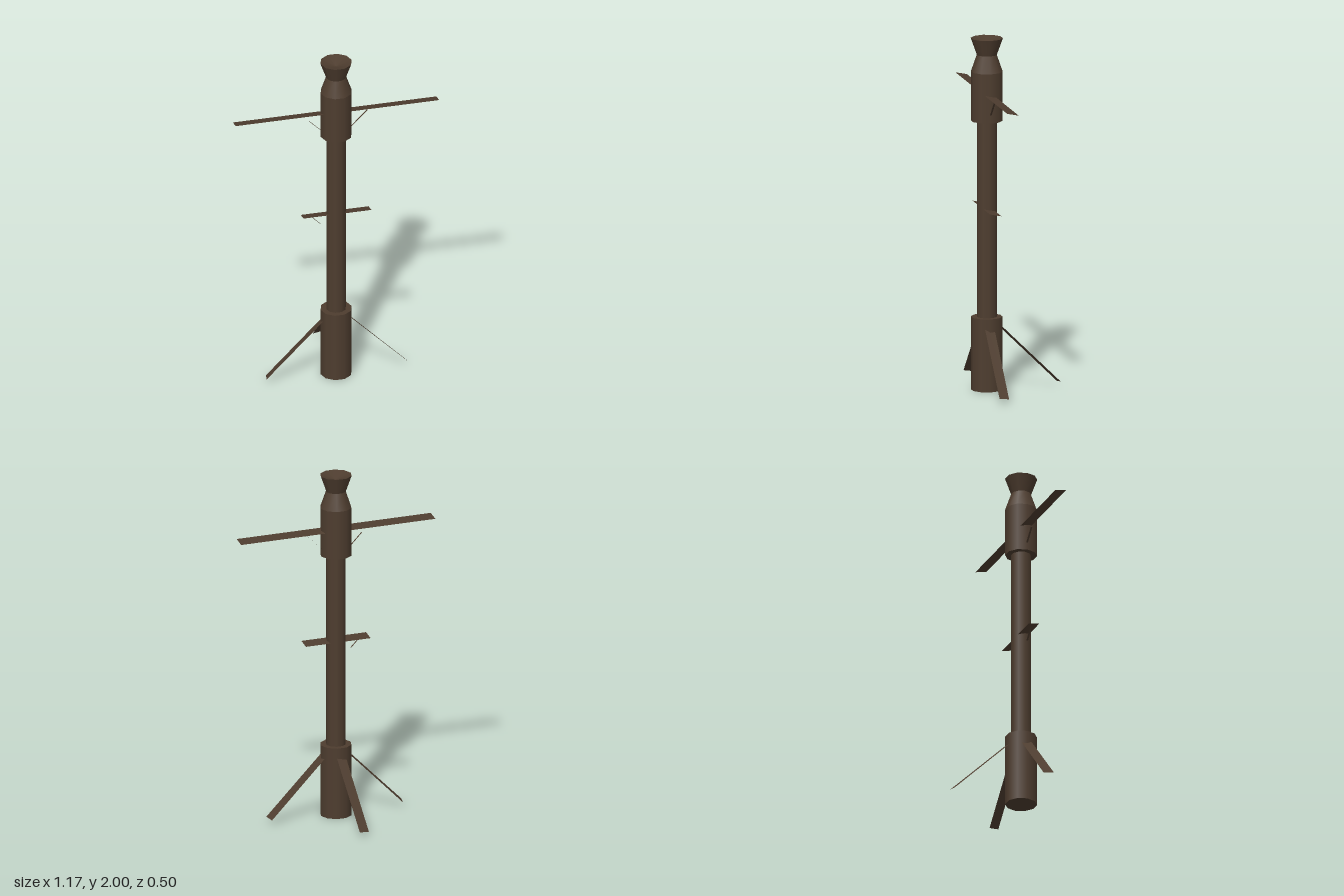
import * as THREE from 'three';

const SIDES = 10;
const POLE_Z = 0.165;

export function createModel() {
  const model = new THREE.Group();
  const wood = new THREE.MeshStandardMaterial({ color: 0x4e3d2f, side: THREE.DoubleSide });
  wood.name = 'darkWood';

  const add = (name, geometry) => {
    const mesh = new THREE.Mesh(geometry, wood);
    mesh.name = name;
    model.add(mesh);
    return mesh;
  };

  // upright ten-sided section between two heights
  const section = (name, rBottom, rTop, y0, y1, open = false) => {
    const g = new THREE.CylinderGeometry(rTop, rBottom, y1 - y0, SIDES, 1, open, Math.PI / 2);
    add(name, g).position.set(0, (y0 + y1) / 2, POLE_Z);
  };

  // thin four-cornered board
  const board = (name, a, b, c, d) => {
    const g = new THREE.BufferGeometry();
    g.setAttribute('position', new THREE.Float32BufferAttribute([...a, ...b, ...c, ...d], 3));
    g.setIndex([0, 1, 2, 0, 2, 3]);
    g.computeVertexNormals();
    add(name, g);
  };

  // pole
  section('base', 0.089, 0.089, 0, 0.415);
  section('shaft', 0.056, 0.056, 0.41, 1.535);
  section('head', 0.089, 0.089, 1.53, 1.81);
  section('neck', 0.089, 0.056, 1.81, 1.905, true);
  section('crown', 0.056, 0.09, 1.905, 2, true);

  // shallow hollow in the crown
  const hollow = new THREE.ConeGeometry(0.09, 0.03, SIDES, 1, true, Math.PI / 2);
  hollow.rotateX(Math.PI);
  add('crownHollow', hollow).position.set(0, 1.985, POLE_Z);

  // crossarms, tilted slightly forward
  for (const [name, half, y] of [['upperCrossarm', 0.585, 1.681], ['lowerCrossarm', 0.195, 1.029]]) {
    board(name,
      [-half, y + 0.007, 0.197], [half, y + 0.007, 0.197],
      [half, y - 0.007, 0.13], [-half, y - 0.007, 0.13]);
  }

  // slender struts below the arms
  const strut = (name, x0, y0, x1, y1) => board(name,
    [x0, y0, 0.17], [x1, y1, 0.17], [x1, y1, 0.16], [x0, y0, 0.16]);
  strut('upperStrutRight', -0.155, 1.64, -0.08, 1.565);
  strut('upperStrutLeft', 0.18, 1.667, 0.08, 1.567);
  strut('lowerStrutRight', -0.145, 1.025, -0.09, 0.97);

  // splayed legs, one each side and one behind
  for (const s of [-1, 1]) {
    board(s < 0 ? 'rightLeg' : 'leftLeg',
      [s * 0.07, 0.366, 0.195], [s * 0.407, 0.028, 0.195],
      [s * 0.396, 0.022, 0.138], [s * 0.07, 0.352, 0.138]);
  }
  board('backLeg',
    [-0.03, 0.352, 0.09], [0.028, 0.366, 0.09],
    [0.028, 0.028, -0.253], [-0.03, 0.022, -0.244]);

  return model;
}
